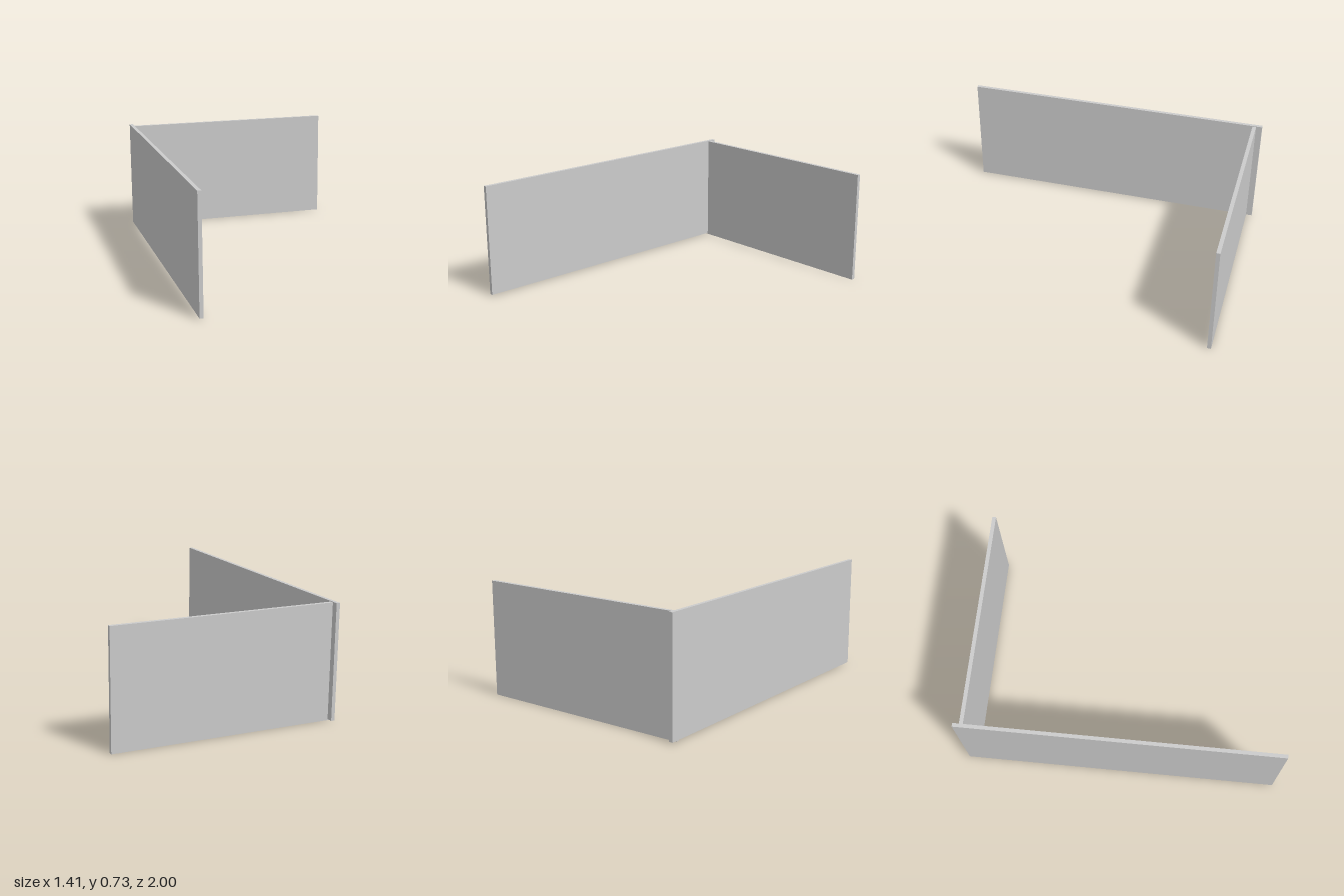
import * as THREE from 'three';

export function createModel() {
  const group = new THREE.Group();
  const material = new THREE.MeshStandardMaterial({ color: 0xcccccc });

  // Thin upright panel given by its lower and upper corners
  function panel(name, [x0, y0, z0], [x1, y1, z1]) {
    const mesh = new THREE.Mesh(new THREE.BoxGeometry(x1 - x0, y1 - y0, z1 - z0), material);
    mesh.position.set((x0 + x1) / 2, (y0 + y1) / 2, (z0 + z1) / 2);
    mesh.name = name;
    group.add(mesh);
  }

  // Long side wall, running slightly past the back wall
  panel('sideWall', [-0.704, 0.007, -1], [-0.681, 0.728, 1]);
  // Back wall, let into the side wall
  panel('backWall', [-0.7, 0, -0.961], [0.704, 0.724, -0.937]);

  return group;
}
